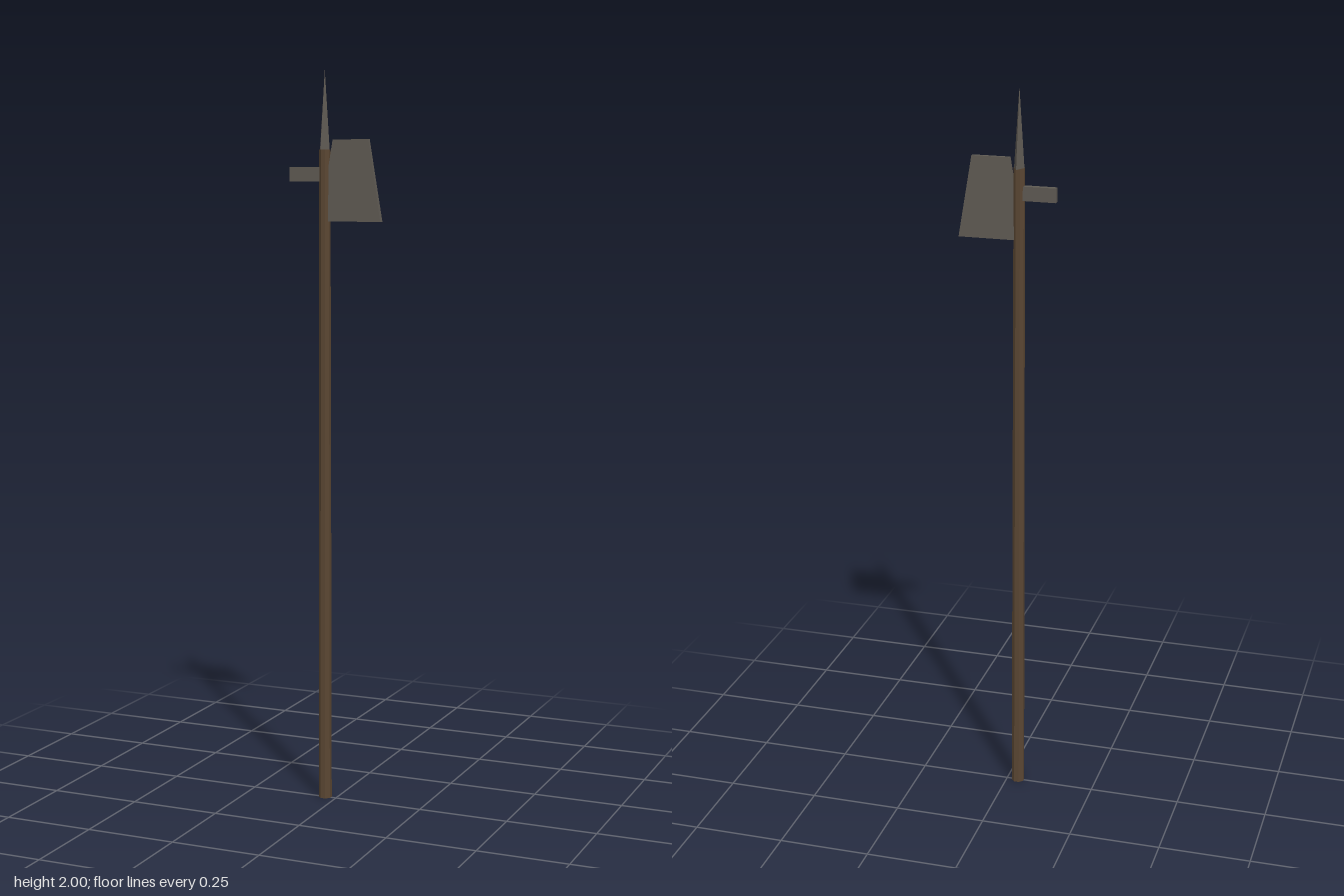
import * as THREE from 'three';

const AXIS_X = -0.032;

function part(name, geometry, color, x, y) {
  const mesh = new THREE.Mesh(geometry, new THREE.MeshStandardMaterial({ color, flatShading: true }));
  mesh.name = name;
  mesh.position.set(x, y, 0);
  return mesh;
}

// Box whose top face is scaled in x and z
function taperedBox(w, h, d, topX, topZ) {
  const geometry = new THREE.BoxGeometry(w, h, d);
  const p = geometry.attributes.position;
  for (let i = 0; i < p.count; i++) {
    if (p.getY(i) > 0) {
      p.setX(i, p.getX(i) * topX);
      p.setZ(i, p.getZ(i) * topZ);
    }
  }
  geometry.computeVertexNormals();
  return geometry;
}

export function createModel() {
  const group = new THREE.Group();
  group.name = 'halberd';
  const wood = 0x5a4632;
  const iron = 0x5f5a53;

  // Slightly tapering eight-sided shaft
  const shaft = new THREE.CylinderGeometry(0.015, 0.018, 1.79, 8);
  shaft.rotateY(Math.PI / 8);
  group.add(part('shaft', shaft, wood, AXIS_X, 0.895));

  // Four-sided spear point, wide in z and thin in x
  const point = new THREE.ConeGeometry(1, 0.21, 4);
  point.scale(0.014, 1, 0.03);
  group.add(part('spearPoint', point, iron, AXIS_X, 1.895));

  // Axe blade, narrower and thinner at the top
  group.add(part('axeBlade', taperedBox(0.174, 0.217, 0.016, 0.59, 0.62), iron, 0.044, 1.708));

  // Square-ended hammer on the opposite side
  group.add(part('backSpike', new THREE.BoxGeometry(0.102, 0.038, 0.016), iron, -0.081, 1.724));

  return group;
}
